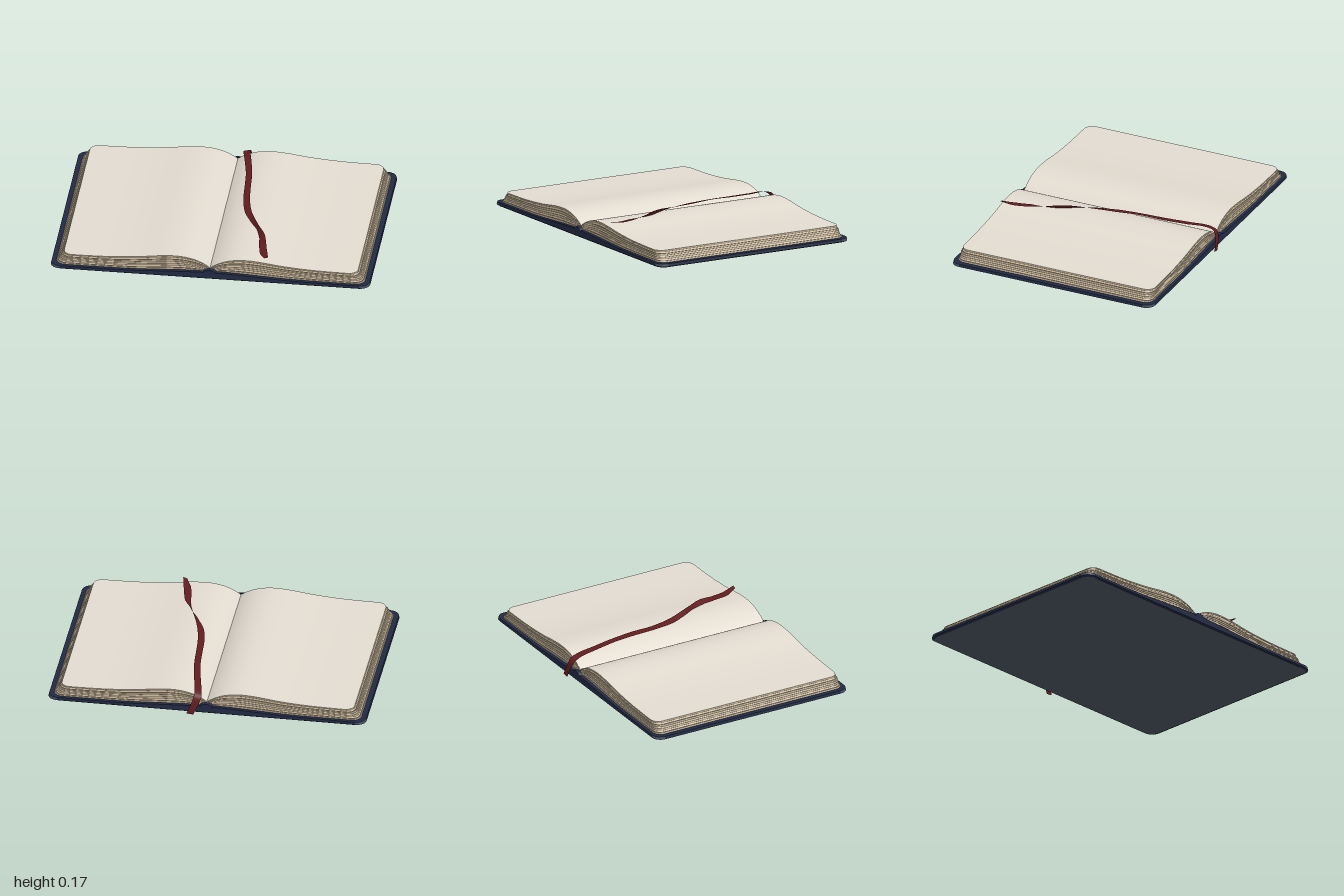
import * as THREE from 'three';
import { mergeGeometries } from 'three/addons/utils/BufferGeometryUtils.js';

const paint = (name, color, side = THREE.FrontSide) => {
  const m = new THREE.MeshStandardMaterial({ color, side });
  m.name = name;
  return m;
};

// Height curves measured outward from the gutter
const curve = (pts) => {
  const c = new THREE.SplineCurve(pts.map(([x, y]) => new THREE.Vector2(x, y)));
  const samples = c.getPoints(160);
  return (x) => {
    const i = samples.findIndex((p) => p.x >= x);
    if (i < 0) return samples[samples.length - 1].y;
    if (i === 0) return samples[0].y;
    const a = samples[i - 1], b = samples[i];
    return a.y + (b.y - a.y) * (x - a.x) / (b.x - a.x);
  };
};
const pageTop = curve([[0, 0.072], [0.02, 0.086], [0.06, 0.108], [0.12, 0.129], [0.2, 0.14],
  [0.3, 0.136], [0.45, 0.117], [0.6, 0.105], [0.75, 0.1], [1, 0.098]]);
const boardTop = curve([[0, 0.054], [0.15, 0.05], [0.35, 0.04], [0.55, 0.032], [1, 0.03]]);

// Smooth strip of quads between two rows of points
function strip(a, b) {
  const pos = [], idx = [];
  a.forEach((p, i) => {
    pos.push(...p, ...b[i]);
    if (i) {
      const k = 2 * i;
      idx.push(k - 2, k, k + 1, k - 2, k + 1, k - 1);
    }
  });
  const g = new THREE.BufferGeometry();
  g.setAttribute('position', new THREE.Float32BufferAttribute(pos, 3));
  g.setIndex(idx);
  g.computeVertexNormals();
  return g;
}

// Front and back edges of a half sheet with rounded outer corners
const STRAIGHT = 36, ROUND = 8;
function outline(outer, depth, radius, height) {
  const front = [];
  const add = (x, h) => front.push([x, height(x), h]);
  for (let i = 0; i < STRAIGHT; i++) add((outer - radius) * (i / STRAIGHT) ** 1.4, depth);
  for (let i = 0; i <= ROUND; i++) {
    const a = (i / ROUND) * Math.PI / 2;
    add(outer - radius + radius * Math.sin(a), depth - radius + radius * Math.cos(a));
  }
  return { front, back: front.map(([x, y, z]) => [x, y, -z]) };
}

const loop = (o) => [...o.front, ...[...o.back].reverse()];
const wall = (lo, hi, from = 0, to = Infinity) => strip(loop(lo).slice(from, to), loop(hi).slice(from, to));

export function createModel() {
  const book = new THREE.Group();
  book.name = 'openBook';
  const navy = paint('navy cover', 0x222a44);
  const worn = paint('worn cover corner', 0x444d62);
  const under = paint('slate underside', 0x4b535f);
  const paper = paint('paper', 0xe2dbd0);
  const tan = paint('tan page edge', 0xbbac94);
  const pale = paint('pale page edge', 0xd0be9e);
  const brown = paint('brown page gap', 0x6f6050);
  const red = paint('red ribbon', 0x621c1f, THREE.DoubleSide);

  const mesh = (parent, name, geometry, material) => {
    const m = new THREE.Mesh(geometry, material);
    m.name = name;
    parent.add(m);
    return m;
  };

  // Each half is the same shape, turned half round for the other side
  for (const [name, turn] of [['left', 0], ['right', Math.PI]]) {
    const half = new THREE.Group();
    half.name = name + 'Half';
    half.rotation.y = turn;
    half.position.z = 0.004;
    book.add(half);

    // Cover board with a softened lower rim and worn corners
    const base = outline(0.985, 0.682, 0.055, () => 0.006);
    const mid = outline(1, 0.692, 0.06, () => 0.013);
    const rim = outline(0.996, 0.69, 0.06, boardTop);
    const c = STRAIGHT + ROUND;
    mesh(half, 'coverBoard', mergeGeometries([
      strip(rim.front, rim.back), strip(loop(base), loop(mid)),
      wall(mid, rim, 0, STRAIGHT + 1), wall(mid, rim, c, c + 2), wall(mid, rim, c + 1 + ROUND),
    ]), navy);
    mesh(half, 'wornCorners', mergeGeometries([
      wall(mid, rim, STRAIGHT, c + 1), wall(mid, rim, c + 1, c + 2 + ROUND),
    ]), worn);
    mesh(half, 'coverUnderside', strip(base.back, base.front), under);

    // Stacked page bundles, parted by thin recessed gaps
    const bundles = 7;
    const level = (t, inset) => outline(0.968 - 0.048 * t - inset, 0.672 - 0.012 * t - inset, 0.055,
      (x) => boardTop(x) + t * (pageTop(x) - boardTop(x)));
    for (let i = 0; i < bundles; i++) {
      const last = i === bundles - 1;
      const t0 = i / bundles, t1 = (i + 1) / bundles, gap = t0 + 0.34 / bundles;
      const jitter = 0.003 * ((i * 3) % 4) / 3;
      const edge = i % 2 ? pale : tan;
      mesh(half, 'pageGap', wall(level(t0, 0.004), level(gap, 0.004)), brown);
      const lo = level(gap, jitter), hi = level(t1, last ? 0 : jitter);
      mesh(half, 'pageBundleEdge', mergeGeometries([wall(lo, hi), strip(lo.back, lo.front)]), edge);
      mesh(half, last ? 'openPage' : 'pageLedge', strip(hi.front, hi.back), last ? paper : edge);
    }

    // Rounded end of the spine
    const cap = mesh(half, 'spineEnd', new THREE.CylinderGeometry(0.024, 0.028, 0.022, 16), navy);
    cap.rotation.x = Math.PI / 2;
    cap.scale.x = 1.6;
    cap.position.set(0, 0.046, 0.68);
  }

  // Ribbon marker: x, y, z, roll of its width, half width
  const path = [
    [0.1, 0.002, -0.704, 0.1, 0.022], [0.075, 0.06, -0.698, 0.2, 0.022], [0.055, 0.118, -0.68, 0.3, 0.024],
    [0.06, 0.14, -0.63, 0.2, 0.022], [0.085, 0.146, -0.5, 0.1, 0.021], [0.11, 0.152, -0.35, 0.1, 0.02],
    [0.122, 0.156, -0.2, 0.2, 0.02], [0.135, 0.152, -0.05, 0.1, 0.021], [0.165, 0.152, 0.1, 0.3, 0.022],
    [0.215, 0.158, 0.22, 0.8, 0.017], [0.25, 0.159, 0.29, 1.1, 0.015], [0.287, 0.157, 0.38, 0.5, 0.02],
    [0.305, 0.151, 0.48, 0.1, 0.023], [0.325, 0.15, 0.58, 0.1, 0.024], [0.35, 0.165, 0.655, 0.3, 0.013],
  ];
  const centre = new THREE.CatmullRomCurve3(path.map(([x, y, z]) => new THREE.Vector3(x, y, z)));
  const edges = [[], []];
  const steps = (path.length - 1) * 6;
  for (let i = 0; i <= steps; i++) {
    const p = centre.getPoint(i / steps);
    const k = Math.min(Math.floor(i / 6), path.length - 2), f = i / 6 - k;
    const mix = (n) => path[k][n] * (1 - f) + path[k + 1][n] * f;
    const dx = Math.cos(mix(3)) * mix(4), dy = Math.sin(mix(3)) * mix(4);
    edges[0].push([p.x - dx, Math.max(0, p.y - dy), p.z]);
    edges[1].push([p.x + dx, p.y + dy, p.z]);
  }
  // Facing up, so the upper side is the front of the strip
  mesh(book, 'ribbonMarker', strip(edges[1], edges[0]).rotateY(0), red);

  return book;
}
